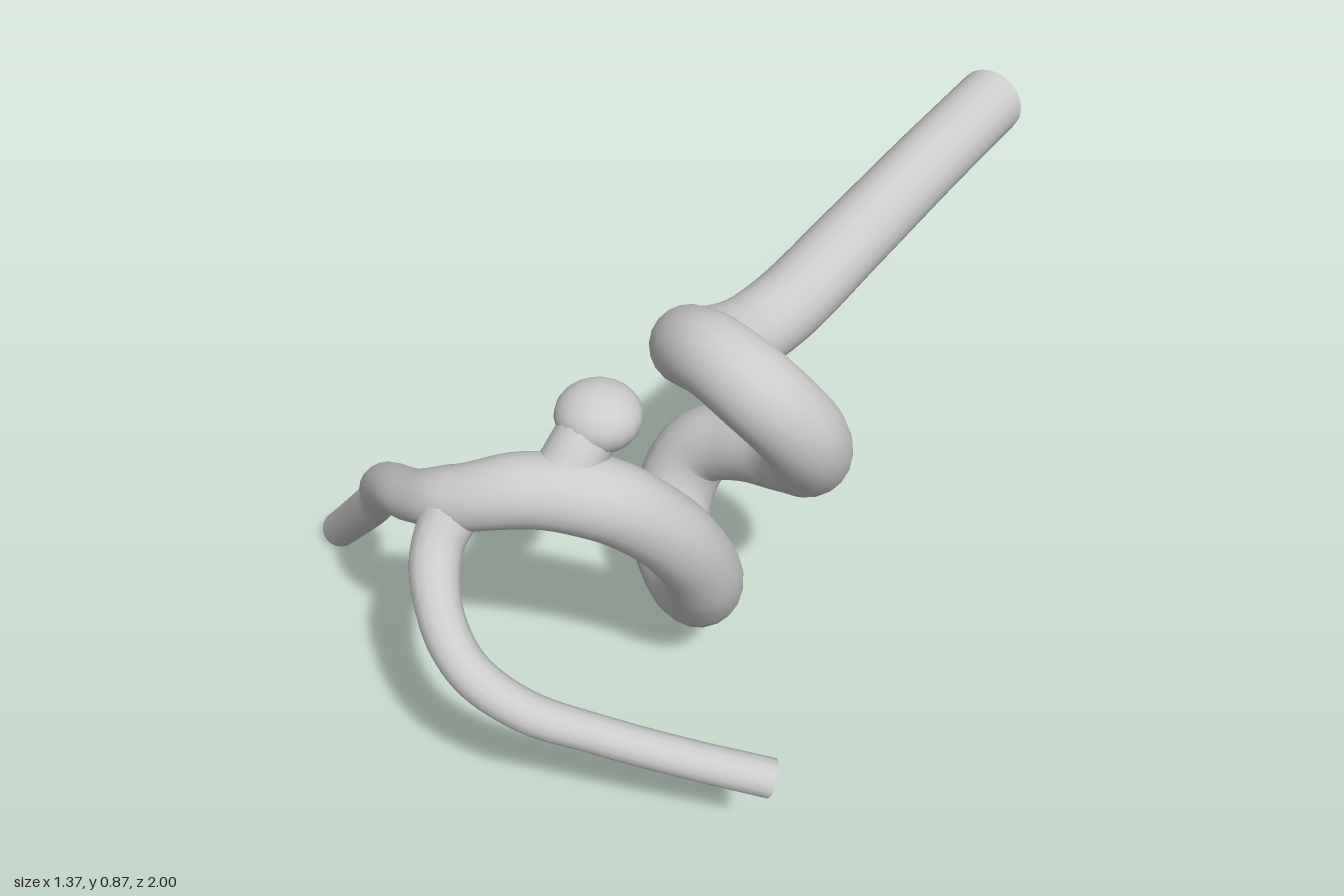
import * as THREE from 'three';
import { mergeVertices } from 'three/addons/utils/BufferGeometryUtils.js';

const material = new THREE.MeshStandardMaterial({ color: 0xcccccc });

// Tube through points [x, y, z, radius], with the radius varying along it and flat end caps.
function vessel(name, points, segments, sides) {
  const group = new THREE.Group();
  group.name = name;
  const curve = new THREE.CatmullRomCurve3(points.map(p => new THREE.Vector3(p[0], p[1], p[2])));
  curve.arcLengthDivisions = 600;
  const radiusAt = u => {
    const f = curve.getUtoTmapping(u) * (points.length - 1);
    const i = Math.min(Math.floor(f), points.length - 2);
    return THREE.MathUtils.lerp(points[i][3], points[i + 1][3], THREE.MathUtils.smoothstep(f - i, 0, 1));
  };

  // Unit tube whose rings are rescaled about the centre line
  const tube = new THREE.TubeGeometry(curve, segments, 1, sides, false);
  const pos = tube.attributes.position, nor = tube.attributes.normal;
  const n = new THREE.Vector3(), c = new THREE.Vector3();
  for (let i = 0; i <= segments; i++) {
    const u = i / segments, r = radiusAt(u);
    curve.getPointAt(u, c);
    for (let j = 0; j <= sides; j++) {
      const k = i * (sides + 1) + j;
      n.fromBufferAttribute(nor, k).multiplyScalar(r).add(c);
      pos.setXYZ(k, n.x, n.y, n.z);
    }
  }
  tube.deleteAttribute('uv');
  tube.deleteAttribute('normal');
  const wallGeometry = mergeVertices(tube, 1e-5);
  wallGeometry.computeVertexNormals();
  const wall = new THREE.Mesh(wallGeometry, material);
  wall.name = name + 'Wall';
  group.add(wall);

  // End caps
  for (const u of [0, 1]) {
    const cap = new THREE.Mesh(new THREE.CircleGeometry(radiusAt(u), sides), material);
    const dir = curve.getTangentAt(u).multiplyScalar(u ? 1 : -1);
    cap.quaternion.setFromUnitVectors(new THREE.Vector3(0, 0, 1), dir);
    cap.position.copy(curve.getPointAt(u));
    cap.name = name + 'Cap';
    group.add(cap);
  }
  return group;
}

export function createModel() {
  const model = new THREE.Group();
  model.name = 'branchingVessel';

  // Long inlet, two coiled loops, then on into the right branch
  model.add(vessel('mainVessel', [
    [0.125, 0.745, -1, 0.082],
    [0.13, 0.71, -0.7, 0.082],
    [0.138, 0.67, -0.38, 0.082],
    [0.145, 0.637, -0.09, 0.082],
    [0.138, 0.642, 0.06, 0.082],
    [0.135, 0.69, 0.18, 0.08],
    [0.18, 0.76, 0.27, 0.08],
    [0.27, 0.793, 0.31, 0.082],
    [0.37, 0.755, 0.31, 0.085],
    [0.425, 0.65, 0.25, 0.086],
    [0.395, 0.53, 0.17, 0.083],
    [0.3, 0.46, 0.12, 0.08],
    [0.18, 0.42, 0.105, 0.08],
    [0.085, 0.37, 0.115, 0.083],
    [0.055, 0.28, 0.16, 0.084],
    [0.085, 0.2, 0.22, 0.084],
    [0.16, 0.182, 0.28, 0.084],
    [0.25, 0.23, 0.345, 0.084],
    [0.31, 0.33, 0.405, 0.08],
    [0.33, 0.45, 0.47, 0.076],
    [0.31, 0.57, 0.55, 0.076],
    [0.25, 0.66, 0.635, 0.078],
    [0.15, 0.685, 0.72, 0.07],
    [0.04, 0.655, 0.785, 0.062],
    [-0.07, 0.61, 0.79, 0.05],
    [-0.18, 0.545, 0.745, 0.048],
    [-0.28, 0.45, 0.68, 0.05],
    [-0.36, 0.35, 0.625, 0.041],
    [-0.45, 0.25, 0.585, 0.044],
    [-0.65, 0.035, 0.512, 0.042],
  ], 200, 20));

  // Thinner branch curving round the front to the left
  model.add(vessel('leftBranch', [
    [0.04, 0.655, 0.785, 0.055],
    [0.05, 0.585, 0.86, 0.048],
    [0.115, 0.51, 0.925, 0.042],
    [0.2, 0.45, 0.952, 0.04],
    [0.3, 0.39, 0.925, 0.038],
    [0.4, 0.335, 0.855, 0.036],
    [0.53, 0.278, 0.765, 0.036],
    [0.664, 0.226, 0.67, 0.037],
  ], 60, 14));

  // Bulge on a short neck above the last bend
  model.add(vessel('bulgeNeck', [
    [0.19, 0.67, 0.69, 0.075],
    [0.195, 0.725, 0.645, 0.058],
    [0.2, 0.765, 0.605, 0.057],
    [0.2, 0.785, 0.58, 0.06],
  ], 14, 16));
  const bulge = new THREE.Mesh(new THREE.SphereGeometry(1, 18, 14), material);
  bulge.name = 'bulge';
  bulge.scale.set(0.082, 0.063, 0.08);
  bulge.position.set(0.2, 0.786, 0.572);
  model.add(bulge);

  return model;
}
